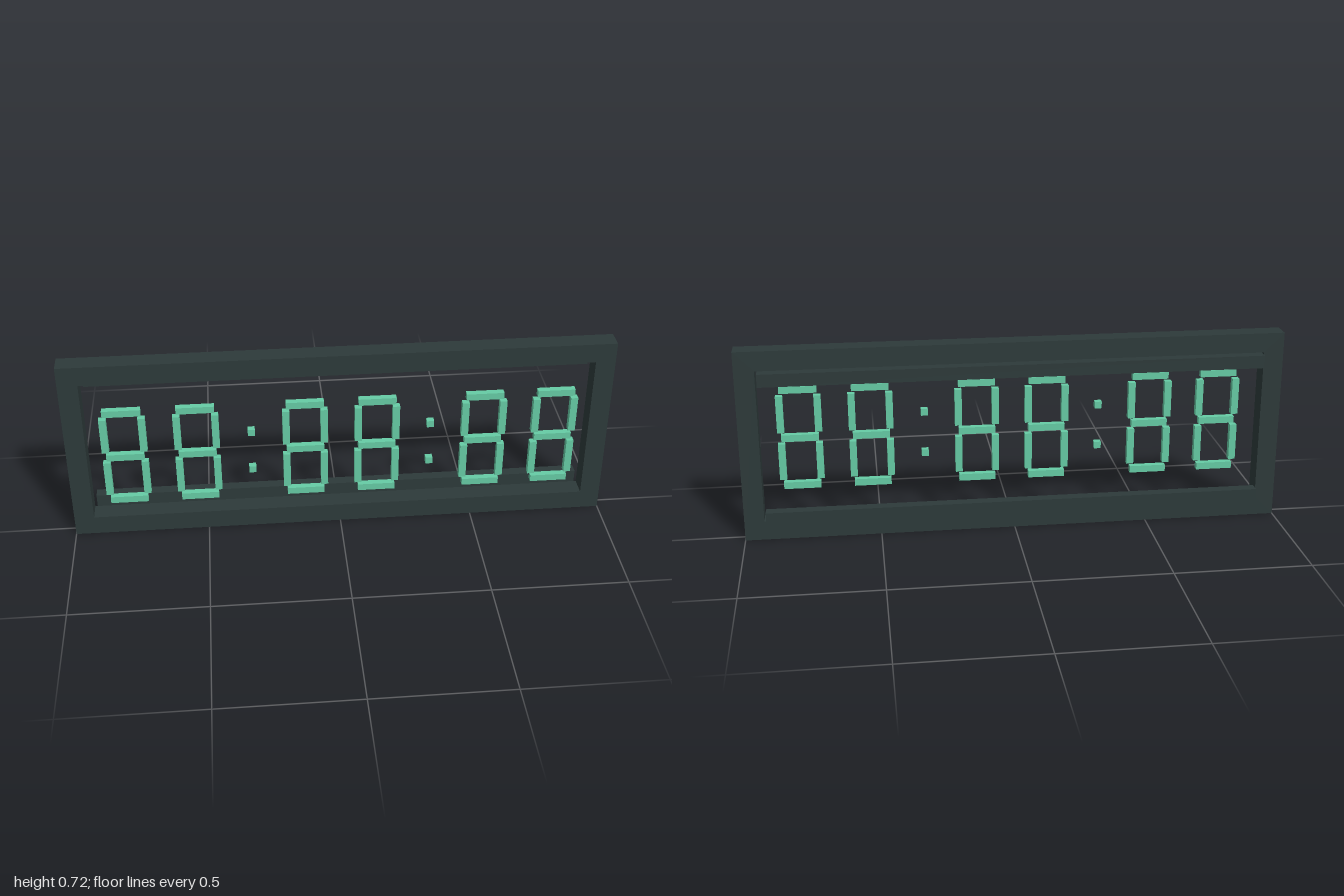
import * as THREE from 'three';

export function createModel() {
  const model = new THREE.Group();
  model.name = 'digitalClock';

  const darkCasing = new THREE.MeshStandardMaterial({ color: 0x2d3a3a });
  darkCasing.name = 'dark casing';
  const mintLight = new THREE.MeshStandardMaterial({ color: 0x66cca5 });
  mintLight.name = 'mint light';

  const midY = 0.361;

  function box(parent, name, material, size, position) {
    const mesh = new THREE.Mesh(new THREE.BoxGeometry(...size), material);
    mesh.name = name;
    mesh.position.set(...position);
    parent.add(mesh);
    return mesh;
  }

  // Rectangular casing with an open window
  const outline = new THREE.Shape([
    new THREE.Vector2(-1, 0), new THREE.Vector2(1, 0),
    new THREE.Vector2(1, 0.722), new THREE.Vector2(-1, 0.722),
  ]);
  outline.holes.push(new THREE.Path([
    new THREE.Vector2(-0.927, 0.073), new THREE.Vector2(-0.927, 0.649),
    new THREE.Vector2(0.927, 0.649), new THREE.Vector2(0.927, 0.073),
  ]));
  const frame = new THREE.Mesh(
    new THREE.ExtrudeGeometry(outline, { depth: 0.072, bevelEnabled: false }), darkCasing);
  frame.name = 'frame';
  frame.position.z = -0.034;
  model.add(frame);

  // Mounting rails behind the window edges
  for (const [name, side] of [['topRail', 1], ['bottomRail', -1]]) {
    box(model, name, darkCasing, [1.836, 0.048, 0.04], [0, midY + side * 0.264, -0.054]);
  }

  // Seven-segment digits floating in front of the window
  const depth = 0.024, thick = 0.026, digitZ = 0.063;
  for (const x of [-0.784, -0.523, -0.131, 0.131, 0.523, 0.784]) {
    const digit = new THREE.Group();
    digit.name = 'digit';
    digit.position.set(x, midY, digitZ);
    for (const row of [-1, 0, 1]) {
      box(digit, 'horizontalSegment', mintLight, [0.137, thick, depth], [0, row * 0.186, 0]);
    }
    for (const sx of [-1, 1]) {
      for (const sy of [-1, 1]) {
        box(digit, 'verticalSegment', mintLight, [thick, 0.14, depth], [sx * 0.069, sy * 0.092, 0]);
      }
    }
    model.add(digit);
  }

  // Colon dots between the digit pairs
  for (const x of [-0.326, 0.326]) {
    for (const sy of [-1, 1]) {
      box(model, 'colonDot', mintLight, [thick, thick, depth], [x, midY + sy * 0.08, digitZ]);
    }
  }

  return model;
}
